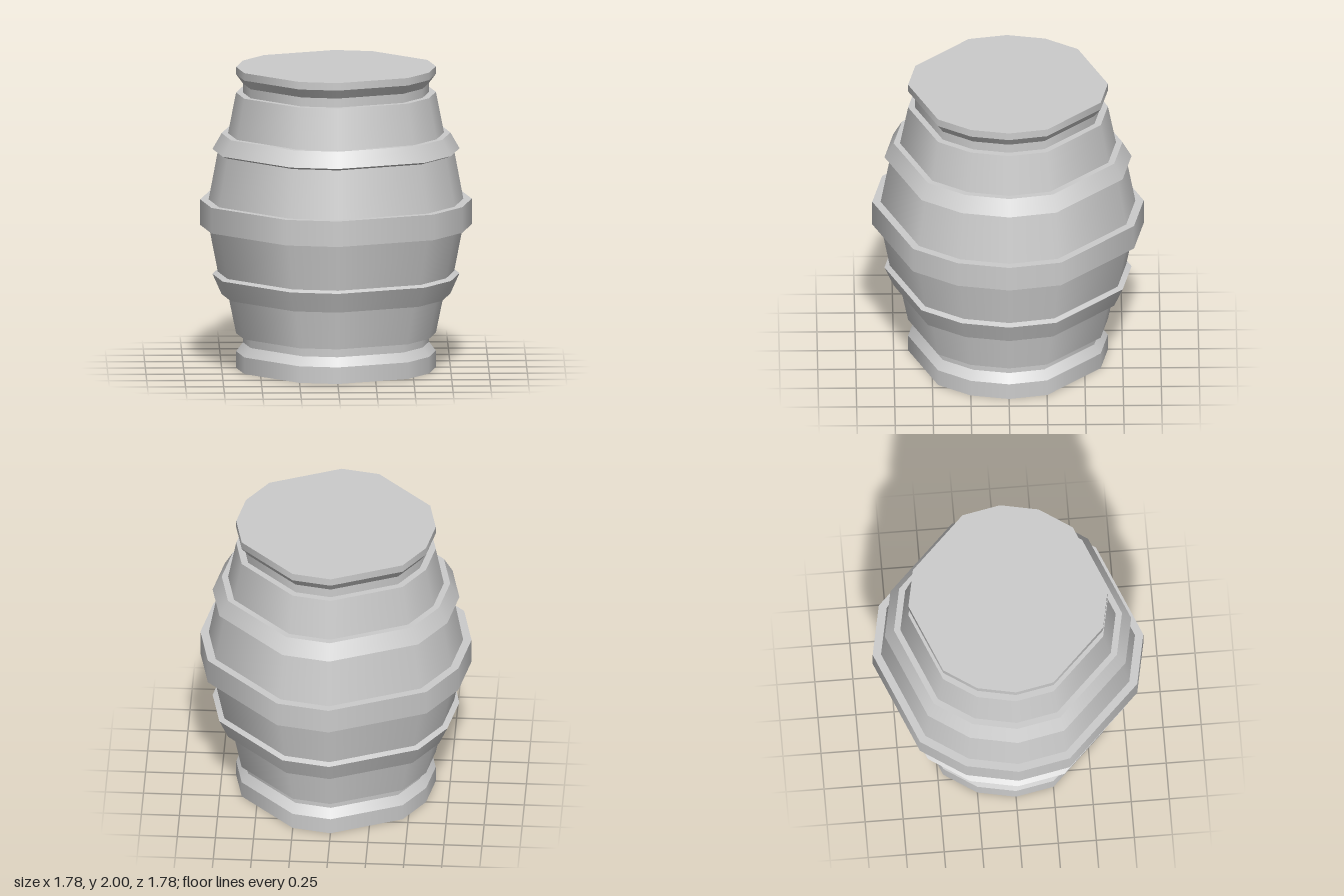
import * as THREE from 'three';

// Corners of the irregular 12-sided plan, in sixteenths of a turn
const CORNERS = [0, 1, 3, 4, 5, 6, 8, 9, 11, 12, 13, 14, 16];

// Sweeps a bottom-to-top [radius, height] profile around the plan:
// smooth around the barrel, sharp between profile segments
function sweep(name, profile) {
  const pos = [], nor = [], idx = [];
  for (let s = 0; s < profile.length - 1; s++) {
    const [r0, y0] = profile[s], [r1, y1] = profile[s + 1];
    const len = Math.hypot(r1 - r0, y1 - y0);
    const nr = (y1 - y0) / len, ny = (r0 - r1) / len;
    const start = pos.length / 3;
    CORNERS.forEach((k, i) => {
      const a = k * Math.PI / 8, sx = Math.sin(a), cz = -Math.cos(a);
      pos.push(r0 * sx, y0, r0 * cz, r1 * sx, y1, r1 * cz);
      nor.push(nr * sx, ny, nr * cz, nr * sx, ny, nr * cz);
      if (i === 0) return;
      const b = start + 2 * i, p = b - 2;
      if (r0 > 0) idx.push(b, p, p + 1);
      if (r1 > 0) idx.push(b, p + 1, b + 1);
    });
  }
  const g = new THREE.BufferGeometry();
  g.setAttribute('position', new THREE.Float32BufferAttribute(pos, 3));
  g.setAttribute('normal', new THREE.Float32BufferAttribute(nor, 3));
  g.setIndex(idx);
  const mesh = new THREE.Mesh(g, new THREE.MeshStandardMaterial({ color: 0xcccccc }));
  mesh.name = name;
  return mesh;
}

// Mirrors a profile about mid-height, keeping bottom-to-top order
const flip = (profile) => profile.map(([r, y]) => [r, 2 - y]).reverse();

export function createModel() {
  const group = new THREE.Group();
  group.name = 'barrel';

  // Bulging staves with stepped ends
  const lower = [[0.61, 0.23], [0.655, 0.23], [0.708, 0.49], [0.775, 0.64], [0.835, 0.95]];
  const upper = [[0.835, 1.12], [0.775, 1.44], [0.708, 1.56], [0.655, 1.83], [0.61, 1.83]];
  group.add(sweep('staves', [...lower, ...upper]));

  // End rims with closed lids
  const rim = [[0, 0], [0.655, 0], [0.655, 0.11], [0.61, 0.17], [0.61, 0.23]];
  group.add(sweep('bottomRim', rim));
  group.add(sweep('topRim', flip(rim).map(([r, y]) => [r, y === 1.89 ? 1.885 : y])
    .map(([r, y]) => [r, Math.abs(y - 1.89) < 1e-6 ? 1.95 : Math.abs(y - 1.83) < 1e-6 ? 1.89 : y])
    .map(([r, y], i) => [r, [1.83, 1.89, 1.95, 2, 2][i]])));

  // Hoops
  group.add(sweep('lowerHoop', [[0.708, 0.49], [0.75, 0.49], [0.81, 0.625], [0.775, 0.64]]));
  group.add(sweep('middleHoop', [[0.835, 0.95], [0.89, 0.95], [0.89, 1.12], [0.835, 1.12]]));
  group.add(sweep('upperHoop', [[0.775, 1.44], [0.81, 1.455], [0.75, 1.56], [0.708, 1.56]]));
  return group;
}
